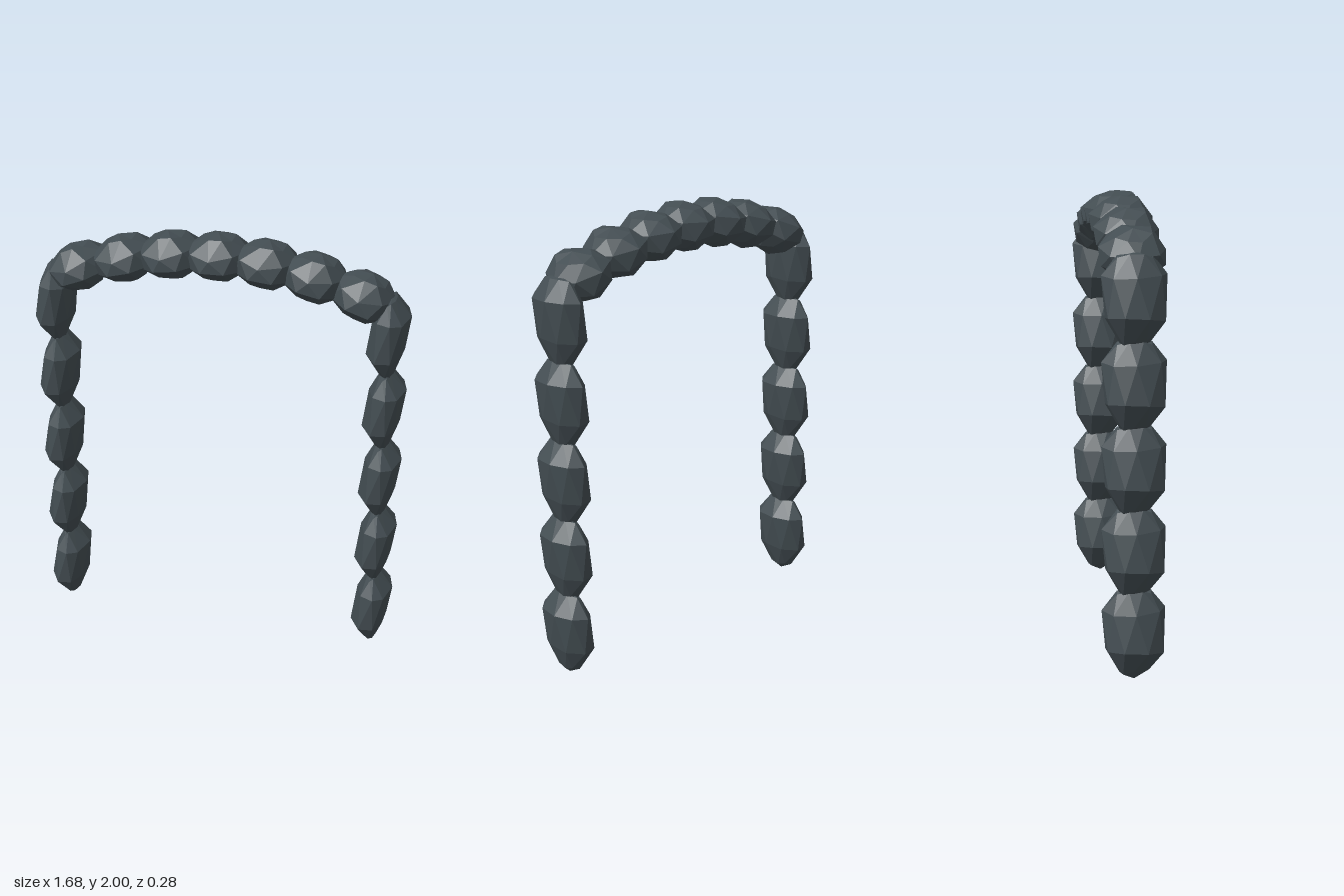
import * as THREE from 'three';

// Small seeded hash in -1..1 for chiselled irregularity
const hash = (n) => {
  const s = Math.sin(n * 127.1 + 11.7) * 43758.5453;
  return (s - Math.floor(s)) * 2 - 1;
};

// Faceted stone from elliptical rings [y, centreX, radiusX, radiusZ], closed by two poles
function stoneGeometry(rings, bottom, top, sides, seed) {
  const pos = [0, bottom, 0];
  rings.forEach(([y, cx, rx, rz], r) => {
    for (let i = 0; i < sides; i++) {
      const k = seed + r * 31 + i;
      const a = ((i + (r % 2) * 0.5 + hash(k) * 0.12) / sides) * Math.PI * 2;
      const s = 1.03 + hash(k + 500) * 0.03;
      pos.push(cx + Math.cos(a) * rx * s, y + hash(k + 900) * 0.012, Math.sin(a) * rz * s);
    }
  });
  pos.push(0, top, 0);

  const last = 1 + rings.length * sides;
  const index = [];
  for (let i = 0; i < sides; i++) {
    const j = (i + 1) % sides;
    index.push(0, 1 + i, 1 + j);
    index.push(last, last - sides + j, last - sides + i);
    for (let r = 0; r < rings.length - 1; r++) {
      const a = 1 + r * sides, b = a + sides;
      // staggered triangles between neighbouring rings
      if (r % 2 === 0) index.push(a + i, b + i, a + j, a + j, b + i, b + j);
      else index.push(a + i, b + i, b + j, a + i, b + j, a + j);
    }
  }
  const geo = new THREE.BufferGeometry();
  geo.setAttribute('position', new THREE.Float32BufferAttribute(pos, 3));
  geo.setIndex(index);
  geo.computeVertexNormals();
  return geo;
}

export function createModel() {
  const model = new THREE.Group();
  model.name = 'stoneArch';
  const stone = new THREE.MeshStandardMaterial({ color: 0x434d52, flatShading: true });
  stone.name = 'dark slate';

  // Upright stones: narrow, leaning slightly, pinched at the joints
  const pillarGeo = stoneGeometry([
    [-0.165, 0, 0.03, 0.06],
    [-0.07, -0.01, 0.081, 0.125],
    [0.1, 0.012, 0.078, 0.13],
    [0.178, 0.002, 0.024, 0.075],
  ], -0.2, 0.198, 8, 3);

  // Rounded stones of the span
  const archGeo = stoneGeometry([
    [-0.09, 0, 0.075, 0.075],
    [-0.035, 0, 0.132, 0.135],
    [0.035, 0, 0.132, 0.135],
    [0.092, 0, 0.075, 0.08],
  ], -0.113, 0.112, 8, 40);

  for (const side of [-1, 1]) {
    const pillar = new THREE.Group();
    pillar.name = side > 0 ? 'leftPillar' : 'rightPillar';
    for (let i = 0; i < 5; i++) {
      const rock = new THREE.Mesh(pillarGeo, stone);
      rock.name = 'pillarStone';
      rock.position.set(side * 0.75, 0.2 + i * 0.349, 0);
      pillar.add(rock);
    }
    model.add(pillar);
  }

  // Shallow curved span, each stone tilted along the curve
  const span = new THREE.Group();
  span.name = 'archSpan';
  for (let i = -3; i <= 3; i++) {
    const x = i * 0.211;
    const rock = new THREE.Mesh(archGeo, stone);
    rock.name = 'archStone';
    rock.position.set(x, 1.887 - 0.28 * x * x, 0);
    rock.rotation.z = -0.56 * x;
    span.add(rock);
  }
  model.add(span);
  return model;
}
